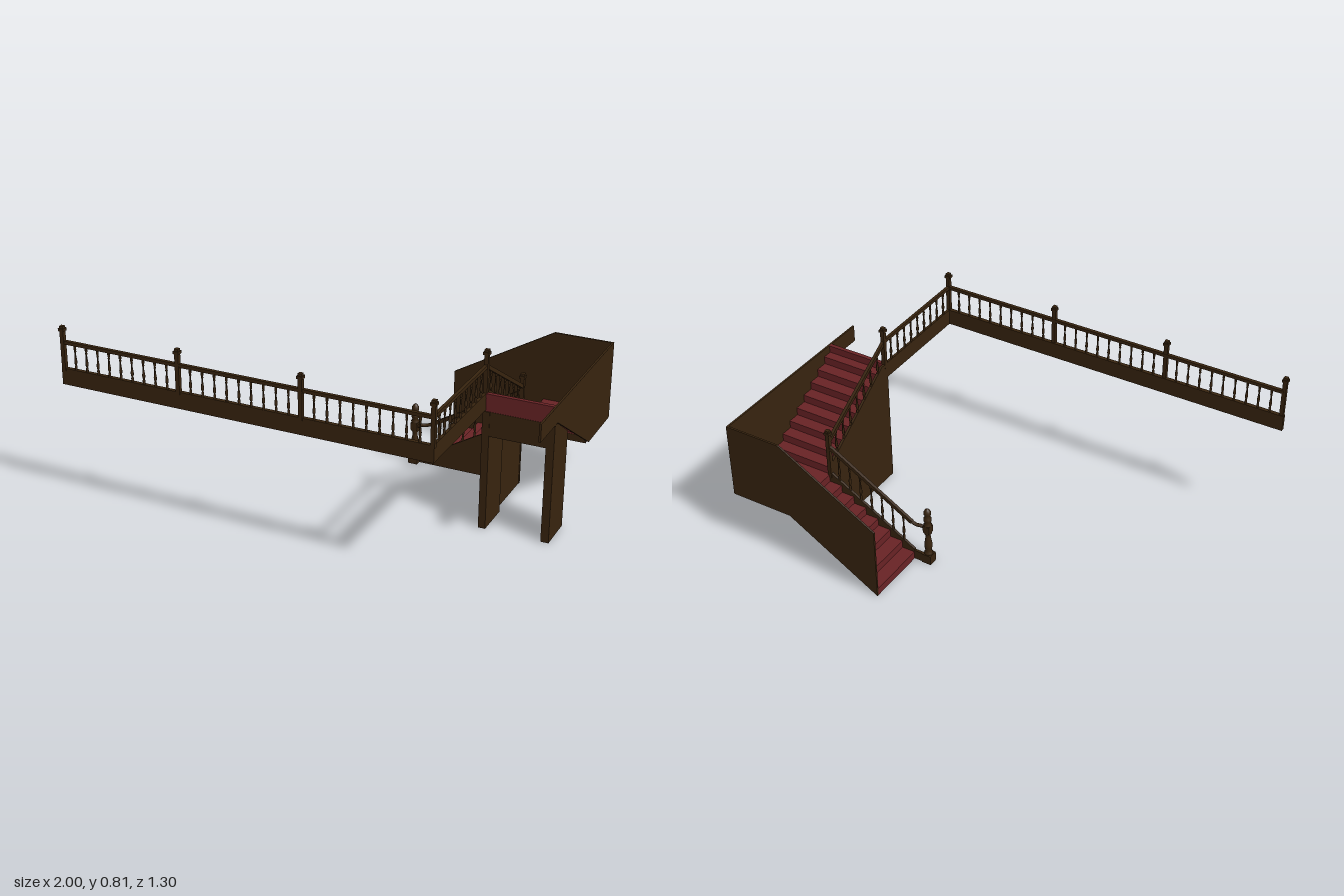
import * as THREE from 'three';

export function createModel() {
  const model = new THREE.Group();
  const wood = new THREE.MeshStandardMaterial({ color: 0x38240f });
  wood.name = 'dark wood';
  const carpet = new THREE.MeshStandardMaterial({ color: 0x692325 });
  carpet.name = 'red carpet';

  const add = (name, geo, mat = wood, parent = model) => {
    const m = new THREE.Mesh(geo, mat);
    m.name = name;
    parent.add(m);
    return m;
  };
  // box given by its limits
  const box = (name, x0, x1, y0, y1, z0, z1, mat = wood, parent = model) => {
    const m = add(name, new THREE.BoxGeometry(x1 - x0, y1 - y0, z1 - z0), mat, parent);
    m.position.set((x0 + x1) / 2, (y0 + y1) / 2, (z0 + z1) / 2);
    return m;
  };
  const extrude = (pts, depth) => new THREE.ExtrudeGeometry(
    new THREE.Shape(pts.map(p => new THREE.Vector2(p[0], p[1]))), { depth, bevelEnabled: false });
  // flat panel drawn in x,y
  const panelXY = (name, pts, z0, z1, mat = wood) =>
    add(name, extrude(pts, z1 - z0).translate(0, 0, z0), mat);
  // flat panel drawn in z,y
  const panelZY = (name, pts, x0, x1, mat = wood) =>
    add(name, extrude(pts.map(([z, y]) => [-z, y]), x1 - x0).rotateY(Math.PI / 2).translate(x0, 0, 0), mat);
  // straight bar between two points
  const bar = (name, a, b, w, h) => {
    const A = new THREE.Vector3(...a), B = new THREE.Vector3(...b);
    const m = add(name, new THREE.BoxGeometry(w, h, A.distanceTo(B)));
    m.position.copy(A).add(B).multiplyScalar(0.5);
    m.lookAt(B);
  };
  const lathe = (pts, seg) => new THREE.LatheGeometry(pts.map(p => new THREE.Vector2(p[0], p[1])), seg);

  // ---- turned balusters, unit height
  const balusterGeo = lathe([[0.0055, 0], [0.0055, 0.16], [0.003, 0.2], [0.006, 0.27], [0.0065, 0.36],
    [0.0035, 0.58], [0.003, 0.7], [0.0055, 0.75], [0.0035, 0.8], [0.0055, 0.84], [0.0055, 1]], 8);
  const balusterRow = (a, b, count, height) => {
    const row = new THREE.Group();
    row.name = 'balusters';
    model.add(row);
    for (let i = 1; i <= count; i++) {
      const m = add('baluster', balusterGeo, wood, row);
      m.position.lerpVectors(new THREE.Vector3(...a), new THREE.Vector3(...b), i / (count + 1));
      m.scale.y = height;
    }
  };
  // ---- square post with a moulded cap
  const post = (x, y0, y1, z) => {
    const g = new THREE.Group();
    g.name = 'railPost';
    model.add(g);
    box('shaft', x - 0.009, x + 0.009, y0, y1 - 0.022, z - 0.009, z + 0.009, wood, g);
    box('cap', x - 0.013, x + 0.013, y1 - 0.022, y1 - 0.01, z - 0.013, z + 0.013, wood, g);
    box('capTop', x - 0.009, x + 0.009, y1 - 0.01, y1, z - 0.009, z + 0.009, wood, g);
  };

  // ---- stairs
  const rise = 0.0365, t = 0.004;
  const run1 = 0.435 / 7, run2 = 0.455 / 8, landing = rise * 8, top = 0.62;
  for (let i = 0; i < 8; i++) {
    const x = 0.26 + run1 * i;
    box('lowerRiser', x, x + t, rise * i, rise * (i + 1), -0.642, -0.355, carpet);
    if (i < 7) box('lowerTread', x, x + run1 + t, rise * (i + 1) - t, rise * (i + 1), -0.642, -0.355, carpet);
  }
  box('landing', 0.695, 0.992, 0.262, landing, -0.642, -0.355, carpet);
  box('landingBeam', 0.7, 0.992, 0.26, landing, -0.355, -0.35);
  for (let i = 0; i < 8; i++) {
    const z = -0.355 + run2 * i, y = landing + rise * i;
    box('upperRiser', 0.696, 0.992, y, y + rise, z, z + t, carpet);
    box('upperTread', 0.696, 0.992, y + rise - t, y + rise, z, z + run2, carpet);
  }
  box('topStep', 0.696, 0.992, 0.54, top - 0.018, 0.088, 0.1, carpet);
  box('topNosing', 0.696, 0.992, top - 0.018, top, 0.085, 0.104, carpet);

  // ---- outer walls with undersides that follow the flights
  panelXY('backWall', [[0.26, 0], [0.7, 0.26], [1, 0.26], [1, top], [0.73, top], [0.26, 0.345]], -0.65, -0.641);
  panelZY('sideWall', [[-0.65, 0.26], [-0.37, 0.26], [0.075, 0.54], [0.28, 0.54], [0.28, top], [-0.65, top]], 0.991, 1);

  // ---- inner walls carrying the balustrades
  panelXY('lowerInnerWall', [[0.26, 0], [0.7, 0], [0.7, 0.312], [0.26, 0.052]], -0.36, -0.348);
  panelZY('upperInnerWall', [[-0.36, 0], [0.104, 0], [0.104, top], [0.06, top], [-0.36, 0.345]], 0.686, 0.698);

  // ---- legs and header of the opening under the upper flight
  const leg = [[-0.065, 0], [0.104, 0], [0.104, 0.54], [0.07, 0.535], [-0.065, 0.445]];
  panelZY('outerLeg', leg, 0.964, 0.999);
  panelZY('innerLeg', leg, 0.69, 0.718);
  panelZY('openingHeader', [[-0.065, 0.43], [0.102, 0.43], [0.102, 0.54], [0.07, 0.535], [-0.065, 0.445]], 0.718, 0.964);

  // ---- gallery edge boards
  box('frontEdgeBoard', -1, 0.7, 0.545, top, 0.622, 0.64);
  box('sideEdgeBoard', 0.687, 0.699, 0.545, top, 0.1, 0.63);

  // ---- gallery balustrade
  const zf = 0.633, xs = 0.693, railY = 0.737;
  const postsX = [-0.987, -0.43, 0.13, 0.695];
  postsX.forEach((x, i) => {
    post(x, 0.61, 0.81, zf + 0.002);
    if (i) balusterRow([postsX[i - 1], top, zf], [x, top, zf], 9, 0.11);
  });
  bar('frontHandrail', [-0.987, railY, zf], [0.695, railY, zf], 0.016, 0.015);
  post(xs, 0.6, 0.81, 0.092);
  balusterRow([xs, top, zf], [xs, top, 0.092], 9, 0.11);
  bar('sideHandrail', [xs, railY, zf], [xs, railY, 0.092], 0.014, 0.015);

  // ---- stair balustrades
  post(xs, 0.28, 0.53, -0.354);
  bar('upperStairHandrail', [xs, 0.735, 0.092], [xs, 0.468, -0.354], 0.014, 0.017);
  balusterRow([xs, 0.62, 0.092], [xs, 0.345, -0.354], 7, 0.12);
  bar('lowerStairHandrail', [0.27, 0.197, -0.354], [0.69, 0.442, -0.354], 0.014, 0.017);
  balusterRow([0.26, 0.052, -0.354], [0.7, 0.308, -0.354], 7, 0.138);
  add('handrailEnd', new THREE.TubeGeometry(new THREE.CatmullRomCurve3([
    new THREE.Vector3(0.2, 0.175, -0.342), new THREE.Vector3(0.225, 0.188, -0.346),
    new THREE.Vector3(0.25, 0.19, -0.352), new THREE.Vector3(0.275, 0.2, -0.354)]), 10, 0.008, 8));

  // ---- turned newel at the foot of the stairs
  const newel = new THREE.Group();
  newel.name = 'newel';
  newel.position.set(0.197, 0, -0.342);
  model.add(newel);
  box('newelBase', -0.022, 0.022, 0, 0.045, -0.022, 0.022, wood, newel);
  box('newelFoot', 0.02, 0.068, 0, 0.045, -0.018, -0.006, wood, newel);
  box('newelBlock', -0.016, 0.016, 0.165, 0.2, -0.016, 0.016, wood, newel);
  add('newelTurning', lathe([[0.019, 0.045], [0.019, 0.055], [0.013, 0.062], [0.017, 0.08], [0.018, 0.1],
    [0.012, 0.135], [0.011, 0.15], [0.017, 0.157], [0.016, 0.2], [0.019, 0.207], [0.012, 0.214],
    [0.018, 0.228], [0.018, 0.24], [0.011, 0.25], [0.016, 0.262], [0.016, 0.275], [0.009, 0.287], [0, 0.293]], 14),
    wood, newel);

  return model;
}
